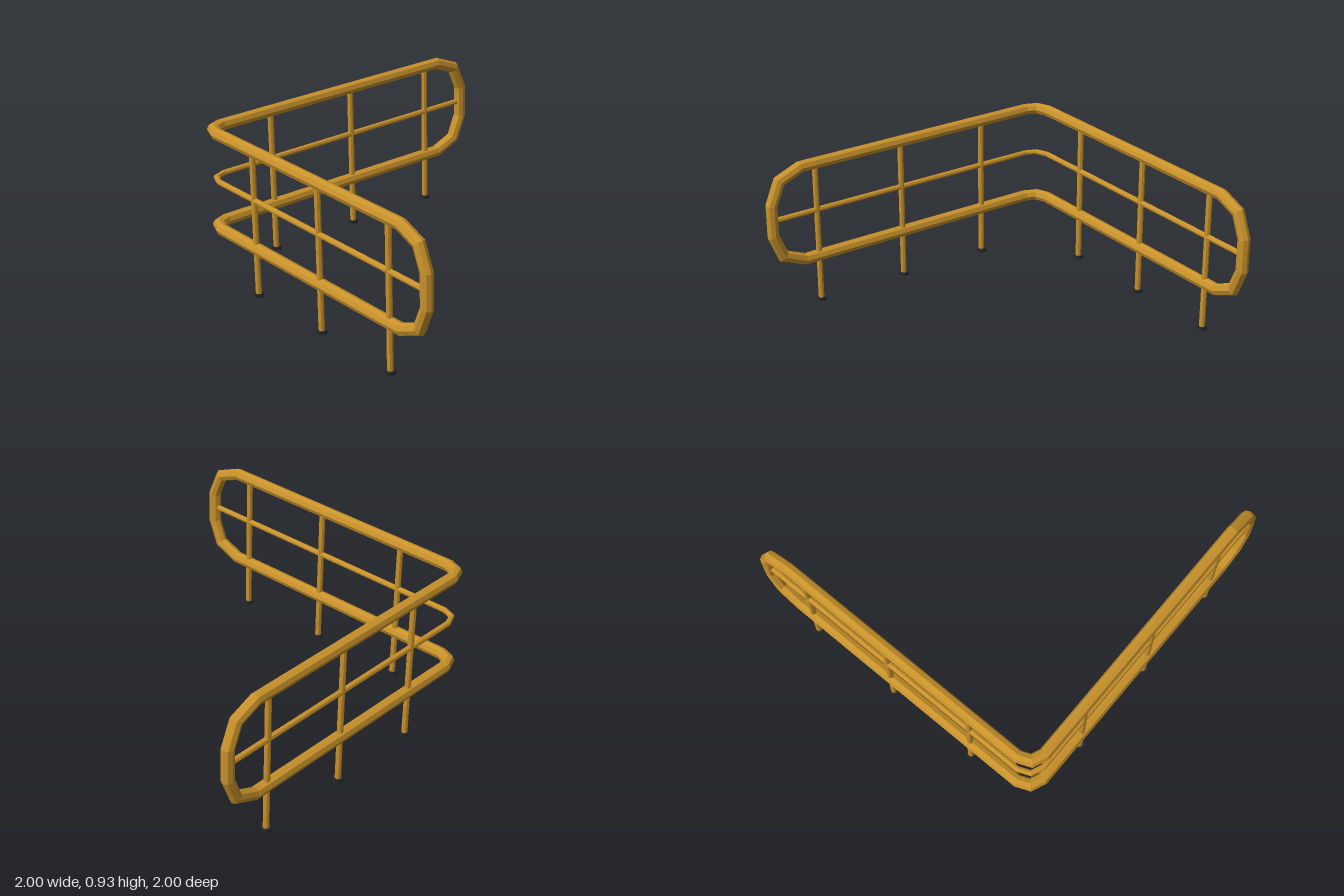
import * as THREE from 'three';

const E = 0.963;            // distance of the rail centre lines from the middle
const TOP = 0.895, LOW = 0.3, MID = 0.5975;
const BEND = 0.2, TURN = 0.1; // radii of the end bends and the plan corner
const V = (x, y, z) => new THREE.Vector3(x, y, z);

// faceted normals
function faceted(geometry) {
  const g = geometry.index ? geometry.toNonIndexed() : geometry;
  g.computeVertexNormals();
  return g;
}

// octagonal tube with mitred joints; each station is {p, side}, side being horizontal
function mitredTube(stations, r, closed, sides = 8) {
  const n = stations.length, pos = [], index = [];
  stations.forEach(({ p, side }, i) => {
    const prev = stations[closed ? (i + n - 1) % n : Math.max(i - 1, 0)].p;
    const next = stations[closed ? (i + 1) % n : Math.min(i + 1, n - 1)].p;
    let a = p.clone().sub(prev).normalize();
    let b = next.clone().sub(p).normalize();
    if (a.lengthSq() === 0) a = b.clone();
    if (b.lengthSq() === 0) b = a.clone();
    const t = a.clone().add(b).normalize();
    const out = t.clone().cross(side).normalize();
    const stretch = 1 / t.dot(a);
    const flatBend = Math.abs(a.clone().cross(b).y) > 0.01;
    for (let j = 0; j < sides; j++) {
      const k = j / sides * Math.PI * 2;
      const q = p.clone()
        .addScaledVector(side, r * Math.cos(k) * (flatBend ? stretch : 1))
        .addScaledVector(out, r * Math.sin(k) * (flatBend ? 1 : stretch));
      pos.push(q.x, q.y, q.z);
    }
  });
  for (let i = 0; i < (closed ? n : n - 1); i++) {
    for (let j = 0; j < sides; j++) {
      const m = ((i + 1) % n) * sides, k = (j + 1) % sides;
      index.push(i * sides + j, i * sides + k, m + k, i * sides + j, m + k, m + j);
    }
  }
  const g = new THREE.BufferGeometry();
  g.setAttribute('position', new THREE.Float32BufferAttribute(pos, 3));
  g.setIndex(index);
  return faceted(g);
}

// the plan corner, running from the side arm to the back arm
function corner(y) {
  const c = -E + TURN;
  return [[0, 11.25], [45, 45], [90, 78.75]].map(([deg, normal]) => {
    const a = deg * Math.PI / 180, s = normal * Math.PI / 180;
    return {
      p: V(c - TURN * Math.cos(a), y, c - TURN * Math.sin(a)),
      side: V(-Math.cos(s), 0, -Math.sin(s)),
    };
  });
}

// rounded end of an arm, from top to bottom
function armEnd(place, side) {
  const pts = [];
  for (const [y, from] of [[TOP - BEND, 90], [LOW + BEND, 0]]) {
    for (let k = 0; k < 3; k++) {
      const a = (from - k * 45) * Math.PI / 180;
      pts.push({ p: place(E - BEND + BEND * Math.cos(a), y + BEND * Math.sin(a)), side });
    }
  }
  return pts;
}

export function createModel() {
  const model = new THREE.Group();
  const yellow = new THREE.MeshStandardMaterial({ color: 0xc9922b });
  yellow.name = 'ochre paint';
  const black = new THREE.MeshStandardMaterial({ color: 0x25282b });
  black.name = 'black rubber';

  const add = (name, geometry, material, parent = model) => {
    const mesh = new THREE.Mesh(geometry, material);
    mesh.name = name;
    parent.add(mesh);
    return mesh;
  };

  // the two arms of the L: back arm along x, side arm along z
  const arms = [
    { name: 'back', place: (s, y) => V(s, y, -E), side: V(0, 0, -1) },
    { name: 'side', place: (s, y) => V(-E, y, s), side: V(-1, 0, 0) },
  ];
  const [back, side] = arms;

  // heavy outer frame, one closed loop around both arms
  add('outerFrame', mitredTube([
    ...corner(TOP),
    ...armEnd(back.place, back.side),
    ...corner(LOW).reverse(),
    ...armEnd(side.place, side.side).reverse(),
  ], 0.036, true), yellow);

  // thin middle rail
  add('middleRail', mitredTube([
    { p: side.place(E - 0.01, MID), side: side.side },
    ...corner(MID),
    { p: back.place(E - 0.01, MID), side: back.side },
  ], 0.017, false), yellow);

  // posts with feet
  const postShape = faceted(new THREE.CylinderGeometry(0.018, 0.018, 0.87, 8));
  const footShape = faceted(new THREE.CylinderGeometry(0.03, 0.03, 0.02, 8));
  for (const arm of arms) {
    [-0.518, 0.074, 0.665].forEach((s, i) => {
      const group = new THREE.Group();
      group.name = `${arm.name}Post${i + 1}`;
      group.position.copy(arm.place(s, 0));
      add('post', postShape, yellow, group).position.y = 0.445;
      add('foot', footShape, black, group).position.y = 0.01;
      model.add(group);
    });
  }
  return model;
}
